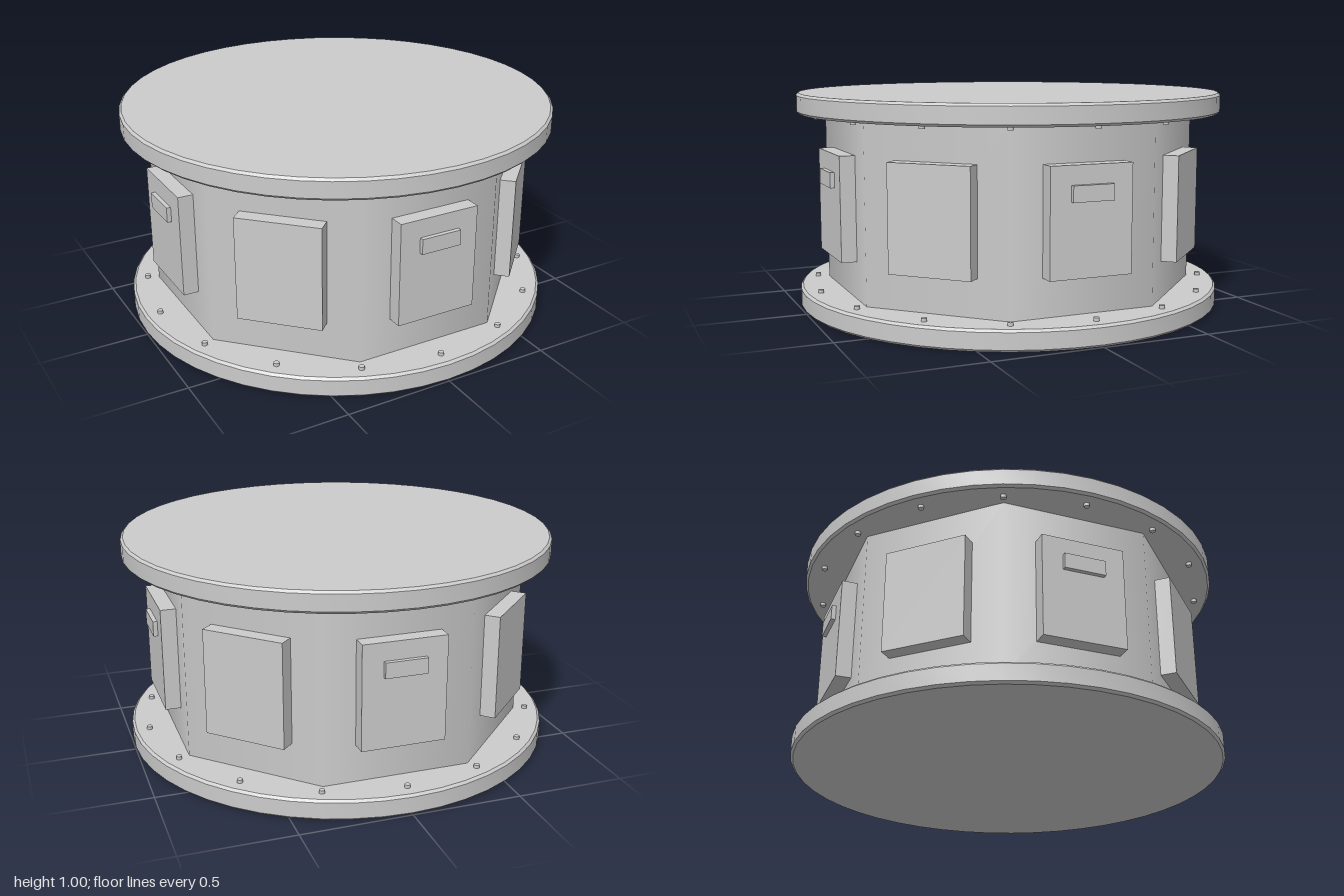
import * as THREE from 'three';
import { toCreasedNormals } from 'three/addons/utils/BufferGeometryUtils.js';

const material = new THREE.MeshStandardMaterial({ color: 0xcccccc });
const APOTHEM = 0.81; // distance from the axis to each flat side of the drum
const PLATE = 0.095;  // thickness of the end plates

function add(parent, name, geometry, x = 0, y = 0, z = 0) {
  const mesh = new THREE.Mesh(geometry, material);
  mesh.name = name;
  mesh.position.set(x, y, z);
  parent.add(mesh);
  return mesh;
}

// Round plate with a small chamfer on both rims
function plateGeometry() {
  const c = 0.011;
  const profile = [[0, 0], [1 - c, 0], [1, c], [1, PLATE - c], [1 - c, PLATE], [0, PLATE]]
    .map(([r, y]) => new THREE.Vector2(r, y));
  return toCreasedNormals(new THREE.LatheGeometry(profile, 48), 0.5);
}

export function createModel() {
  const model = new THREE.Group();
  model.name = 'drumHousing';

  // End plates
  const plate = plateGeometry();
  add(model, 'bottomPlate', plate);
  add(model, 'topPlate', plate, 0, 1 - PLATE);

  // Eight-sided drum with smooth shading, flats facing the axes
  const corner = APOTHEM / Math.cos(Math.PI / 8);
  const drum = new THREE.CylinderGeometry(corner, corner, 1 - 2 * PLATE, 8, 1, true, Math.PI / 8);
  add(model, 'drum', drum, 0, 0.5);

  // A panel on every flat, with a handle on every second one
  const panel = new THREE.BoxGeometry(0.38, 0.475, 0.07);
  const handle = new THREE.BoxGeometry(0.19, 0.07, 0.02);
  for (let i = 0; i < 8; i++) {
    const side = new THREE.Group();
    side.name = 'sidePanel';
    side.rotation.y = i * Math.PI / 4;
    add(side, 'panel', panel, 0, 0.503, APOTHEM + 0.035);
    if (i % 2 === 0) add(side, 'handle', handle, 0, 0.623, APOTHEM + 0.08);
    model.add(side);
  }

  // Bolt heads on the inner faces of both plates
  const bolt = new THREE.CylinderGeometry(0.013, 0.013, 0.03, 12);
  for (let i = 0; i < 16; i++) {
    const a = i * Math.PI / 8;
    for (const y of [PLATE, 1 - PLATE]) {
      add(model, 'bolt', bolt, 0.93 * Math.sin(a), y, 0.93 * Math.cos(a));
    }
  }
  return model;
}
